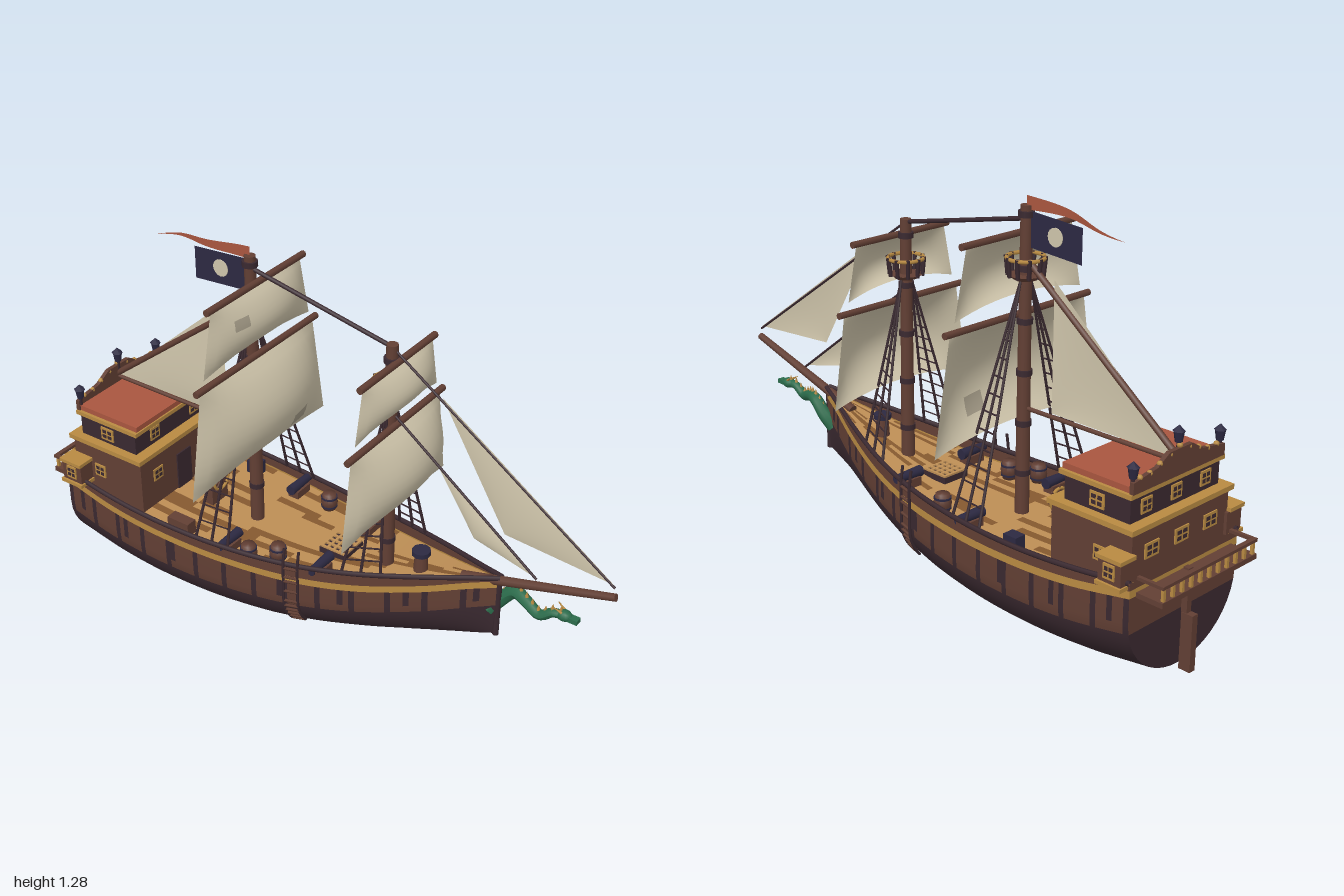
import * as THREE from 'three';

const mat = (name, color) => new THREE.MeshStandardMaterial({ name, color, side: THREE.DoubleSide });
const M = {
  dark: mat('dark hull', 0x3a2930), wood: mat('brown wood', 0x623f34), plank: mat('worn plank', 0x85592f),
  gold: mat('gold trim', 0xb88a42), deck: mat('deck plank', 0xbd8e55), sail: mat('canvas', 0xcfc5ab),
  red: mat('red cloth', 0xa9563f), navy: mat('navy', 0x2c2942), green: mat('green', 0x2b6b4b), patch: mat('patch', 0xa59c88),
};
const V = (x, y, z) => new THREE.Vector3(x, y, z);
const lerp = THREE.MathUtils.lerp;

// Hull lines by station
const XS = [-0.91, -0.7, -0.5, -0.25, 0, 0.2, 0.4, 0.55, 0.63];
const line = (ys) => { const c = new THREE.CubicInterpolant(XS, ys, 1, [0]); return (x) => c.evaluate(x)[0]; };
const keel = line([0.035, 0.012, 0.004, 0.012, 0.045, 0.09, 0.15, 0.205, 0.24]);
const top = line([0.37, 0.352, 0.342, 0.34, 0.352, 0.377, 0.412, 0.44, 0.455]);
const band = line([0.335, 0.305, 0.292, 0.287, 0.295, 0.32, 0.365, 0.41, 0.432]);
const beam = line([0.24, 0.256, 0.26, 0.245, 0.208, 0.16, 0.093, 0.035, 0.006]);

// Hull cross-section: rows 0-10 curve up from the keel, then 11-13 go straight to the rail
function section(x, j, s) {
  const k = keel(x), w = beam(x), b = band(x);
  if (j > 10) return V(x, [b - 0.012, b + 0.012, top(x)][j - 11], s * w);
  const a = (j / 10) * Math.PI / 2, bow = Math.max(0, x + 0.1);
  return V(x, k + 0.7 * (b - k) * (1 - Math.cos(a)), s * w * Math.sin(a) ** (1 + 0.6 * bow));
}

// Surface f(u, v) with one material per cell
function grid(f, nu, nv, mats, pick = () => 0, flip = false) {
  const pos = [], bins = mats.map(() => []);
  for (let j = 0; j <= nv; j++) for (let i = 0; i <= nu; i++) pos.push(...f(i / nu, j / nv, i, j).toArray());
  for (let j = 0; j < nv; j++) for (let i = 0; i < nu; i++) {
    const a = j * (nu + 1) + i, b = a + 1, c = a + nu + 1, d = c + 1;
    bins[pick(i, j)].push(...(flip ? [a, c, b, b, c, d] : [a, b, c, b, d, c]));
  }
  const g = new THREE.BufferGeometry();
  g.setAttribute('position', new THREE.Float32BufferAttribute(pos, 3));
  g.setIndex(bins.flat());
  let start = 0;
  bins.forEach((bin, m) => { if (bin.length) g.addGroup(start, bin.length, m); start += bin.length; });
  g.computeVertexNormals();
  return g;
}

export function createModel() {
  const root = new THREE.Group();
  root.name = 'sailingShip';
  const add = (name, geo, m, x = 0, y = 0, z = 0) => {
    const mesh = new THREE.Mesh(geo, m);
    mesh.name = name;
    mesh.position.set(x, y, z);
    root.add(mesh);
    return mesh;
  };
  // Box given by its limits
  const box = (name, m, x0, x1, y0, y1, z0, z1) => add(name, new THREE.BoxGeometry(x1 - x0, y1 - y0, z1 - z0), m, (x0 + x1) / 2, (y0 + y1) / 2, (z0 + z1) / 2);
  const rod = (name, m, a, b, r, r2 = r, n = 8) => {
    const mid = a.clone().add(b).multiplyScalar(0.5), d = b.clone().sub(a);
    const mesh = add(name, new THREE.CylinderGeometry(r2, r, d.length(), n), m, mid.x, mid.y, mid.z);
    mesh.quaternion.setFromUnitVectors(V(0, 1, 0), d.normalize());
    return mesh;
  };
  const tube = (name, m, pts, r, n = 40, sides = 6) => add(name, new THREE.TubeGeometry(new THREE.CatmullRomCurve3(pts), n, r, sides), m);
  let seed = 7;
  const rnd = () => (seed = (seed * 16807) % 2147483647) / 2147483647;
  const sides = [1, -1];

  // Hull with frame blocks, gold band and bulwark
  const N = 84, hullMats = [M.dark, M.wood, M.gold];
  const hullRow = (i, j) => (j < 9 ? 0 : j < 11 ? (i % 6 === 0 || (j === 10 && i % 11 === 3) ? 0 : 1) : j === 11 ? 2 : 1);
  for (const s of sides) {
    add('hullSide', grid((u, v, i, j) => section(lerp(-0.91, 0.63, u), j, s), N, 13, hullMats, hullRow, s < 0), hullMats);
    const rail = [];
    for (let i = 0; i <= 20; i++) rail.push(section(lerp(-0.91, 0.63, i / 20), 13, s));
    tube('capRail', M.dark, rail, 0.008, 60);
  }
  add('transom', grid((u, v, i, j) => { const p = section(-0.91, j, 1); p.z *= 2 * u - 1; return p; }, 1, 13, hullMats, (i, j) => hullRow(1, j)), hullMats);
  rod('stem', M.dark, V(0.625, 0.235, 0), V(0.625, 0.455, 0), 0.01);

  // Planked deck
  const planks = [];
  for (let j = 0; j < 18; j++) { let left = 0, k = 0; planks[j] = []; for (let i = 0; i < 60; i++) { if (left-- <= 0) { left = 3 + Math.floor(rnd() * 7); k = rnd() < 0.3 ? 1 : 0; } planks[j][i] = k; } }
  add('deck', grid((u, v) => { const x = lerp(-0.9, 0.62, u); return V(x, band(x) + 0.008, beam(x) * (1 - 2 * v) * 0.99); }, 60, 18, [M.deck, M.plank], (i, j) => planks[j][i]), [M.deck, M.plank]);

  // Rudder
  box('rudder', M.wood, -0.955, -0.915, 0.02, 0.2, -0.012, 0.012);
  box('rudderPost', M.wood, -0.932, -0.912, 0.2, 0.34, -0.01, 0.01);

  // Stern castle
  box('lowerCabin', M.wood, -0.89, -0.6, 0.3, 0.5, -0.212, 0.212);
  box('lowerCornice', M.gold, -0.9, -0.59, 0.498, 0.514, -0.225, 0.225);
  box('upperCabin', M.dark, -0.865, -0.63, 0.514, 0.592, -0.195, 0.195);
  box('upperCornice', M.gold, -0.875, -0.615, 0.59, 0.604, -0.206, 0.206);
  box('cabinRoof', M.red, -0.865, -0.62, 0.604, 0.622, -0.195, 0.195);
  // Framed window plate, facing z (axis 0) or x (axis 1)
  const windowAt = (x, y, z, axis, w = 0.045) => {
    const g = new THREE.Group();
    g.name = 'window';
    const part = (m, a, b, d, px, py) => { const q = new THREE.Mesh(new THREE.BoxGeometry(a, b, d), m); q.position.set(px, py, 0); g.add(q); };
    part(M.gold, w, 0.045, 0.007, 0, 0);
    for (const i of sides) for (const j of sides) part(M.dark, w * 0.3, 0.012, 0.009, i * w * 0.21, j * 0.009);
    g.position.set(x, y, z);
    if (axis) g.rotation.y = Math.PI / 2;
    root.add(g);
  };
  for (const s of sides) {
    windowAt(-0.75, 0.55, s * 0.196, 0, 0.052);
    windowAt(-0.78, 0.405, s * 0.213, 0);
    windowAt(-0.59 - 0.01, 0.42, s * 0.13, 1);
    windowAt(-0.63, 0.553, s * 0.1, 1);
    // Quarter galleries
    box('quarterGallery', M.wood, -0.9, -0.82, 0.36, 0.43, s > 0 ? 0.2 : -0.268, s > 0 ? 0.268 : -0.2);
    for (const y of [0.35, 0.43]) box('galleryTrim', M.gold, -0.905, -0.815, y, y + 0.012, s > 0 ? 0.21 : -0.276, s > 0 ? 0.276 : -0.21);
    windowAt(-0.86, 0.398, s * 0.269, 0, 0.04);
  }
  for (const z of [-0.13, 0, 0.13]) { windowAt(-0.891, 0.43, z, 1, 0.06); windowAt(-0.866, 0.553, z, 1); }
  box('cabinDoor', M.dark, -0.602, -0.595, 0.3, 0.44, -0.035, 0.035);

  // Stern balcony
  box('balconyFloor', M.wood, -1, -0.905, 0.318, 0.334, -0.212, 0.212);
  box('balconyRail', M.wood, -1, -0.985, 0.372, 0.382, -0.212, 0.212);
  for (let i = 0; i < 11; i++) box('balconyPost', M.gold, -0.997, -0.988, 0.334, 0.372, -0.205 + i * 0.04, -0.195 + i * 0.04);
  for (const s of sides) box('balconyEnd', M.wood, -1, -0.91, 0.372, 0.382, s * 0.206 - 0.006, s * 0.206 + 0.006);

  // Arched taffrail and stern lanterns
  const arch = new THREE.Shape([[-0.2, 0], [0.2, 0], [0.2, 0.035], [0.1, 0.05], [0.05, 0.08], [-0.05, 0.08], [-0.1, 0.05], [-0.2, 0.035]].map((p) => new THREE.Vector2(...p)));
  add('taffrail', new THREE.ExtrudeGeometry(arch, { depth: 0.014, bevelEnabled: false }), M.wood, -0.877, 0.604, 0).rotation.y = Math.PI / 2;
  for (let i = -4; i <= 4; i++) add('taffrailKnob', new THREE.SphereGeometry(0.009, 8, 6), M.gold, -0.87, 0.645 + 0.045 * Math.max(0, 1 - Math.abs(i) / 3), i * 0.042);
  for (const z of [-0.19, 0, 0.19]) {
    const y = z ? 0.63 : 0.68;
    rod('lanternPost', M.dark, V(-0.865, y - 0.02, z), V(-0.865, y + 0.02, z), 0.006);
    rod('lantern', M.navy, V(-0.865, y + 0.018, z), V(-0.865, y + 0.05, z), 0.011, 0.016, 6);
    add('lanternCap', new THREE.ConeGeometry(0.019, 0.018, 6), M.navy, -0.865, y + 0.059, z);
  }

  // Square sail on its yard
  function squareSail(xm, y0, y1, w0, w1, yard, bulge, patched) {
    const f = (u, v) => {
      const c = 2 * u - 1, full = 1 - c * c;
      return V(xm + 0.022 + bulge * Math.sin(Math.PI * Math.min(1, v * 0.97)) ** 0.8 * full ** 0.8, lerp(y0, y1, v) + 0.03 * v ** 3 * full, lerp(w0, w1, v) * c);
    };
    const mats = [M.sail, M.patch];
    add('squareSail', grid(f, 16, 12, mats, (i, j) => (patched && patched(i, j) ? 1 : 0)), mats);
    rod('yard', M.wood, V(xm + 0.022, y0 + 0.008, -yard), V(xm + 0.022, y0 + 0.008, yard), 0.011);
  }
  // Masts with nest, shrouds and ratlines
  function mast(xm, yTop, nest) {
    rod('mast', M.wood, V(xm, 0.28, 0), V(xm, yTop, 0), 0.023, 0.018, 12);
    for (let y = 0.42; y < yTop; y += 0.16) rod('mastBand', M.dark, V(xm, y, 0), V(xm, y + 0.018, 0), 0.025, 0.025, 12);
    rod('nestFloor', M.wood, V(xm, nest - 0.01, 0), V(xm, nest + 0.005, 0), 0.035, 0.055, 10);
    add('nestRim', new THREE.TorusGeometry(0.057, 0.006, 6, 16), M.gold, xm, nest + 0.055, 0).rotation.x = Math.PI / 2;
    for (let i = 0; i < 10; i++) {
      const c = Math.cos(i * Math.PI / 5), s = Math.sin(i * Math.PI / 5);
      rod('nestPost', M.dark, V(xm + c * 0.052, nest, s * 0.052), V(xm + c * 0.058, nest + 0.06, s * 0.058), 0.007, 0.007, 5);
    }
    for (const s of sides) {
      const foot = (d) => V(xm + d, top(xm + d), s * beam(xm + d) * 0.97), head = V(xm, nest - 0.01, s * 0.02);
      for (const d of [-0.06, 0, 0.06]) rod('shroud', M.dark, foot(d), head, 0.005, 0.004, 5);
      for (let t = 0.08; t < 0.85; t += 0.075) rod('ratline', M.dark, foot(-0.06).lerp(head, t), foot(0.06).lerp(head, t), 0.003, 0.003, 4);
    }
  }
  const MX = -0.287, FX = 0.225;
  mast(MX, 1.255, 1.045);
  mast(FX, 1.12, 0.94);
  squareSail(MX, 0.917, 0.56, 0.285, 0.345, 0.305, 0.092, (i, j) => (i === 4 || i === 5) && (j === 8 || j === 9));
  squareSail(MX, 1.162, 0.955, 0.22, 0.265, 0.24, 0.055, (i, j) => (i === 11 || i === 12) && (j === 3 || j === 4));
  squareSail(FX, 0.847, 0.55, 0.24, 0.285, 0.26, 0.085);
  squareSail(FX, 1.06, 0.89, 0.185, 0.22, 0.2, 0.052);

  // Bowsprit, stays and fore-and-aft sails
  rod('bowsprit', M.wood, V(0.5, 0.405, 0), V(0.997, 0.55, 0), 0.017, 0.012, 10);
  rod('mastStay', M.dark, V(MX, 1.215, 0), V(FX, 1.11, 0), 0.007);
  rod('foreStay', M.dark, V(FX, 1.11, 0), V(0.99, 0.58, 0), 0.004);
  rod('innerStay', M.dark, V(FX, 0.895, 0), V(0.745, 0.5, 0), 0.004);
  rod('gaff', M.wood, V(-0.87, 0.65, 0), V(-0.3, 1.09, 0), 0.01);
  rod('boom', M.wood, V(-0.87, 0.64, 0), V(-0.3, 0.637, 0), 0.007);
  const triSail = (name, a, b, c) => add(name, grid((u, v) => V(...a, 0).lerp(V(...b, 0), u).lerp(V(...c, 0), v).setZ(0.1 * u * (1 - u) * v * (1 - v)), 8, 8, [M.sail]), M.sail);
  triSail('outerJib', [0.4, 1.0], [0.985, 0.59], [0.63, 0.615]);
  triSail('innerJib', [0.4, 0.755], [0.74, 0.505], [0.53, 0.557]);
  triSail('spanker', [-0.86, 0.648], [-0.4, 1.055], [-0.4, 0.648]);

  // Pennant and flag
  add('pennant', grid((u, v) => V(MX - 0.375 * u, 1.262 - 0.045 * u * u + (0.5 - v) * 0.042 * (1 - u), 0.03 * u * Math.sin(6 * u)), 16, 2, [M.red]), M.red);
  add('flag', grid((u, v) => V(-0.3 - 0.2 * u, 1.24 - 0.014 * u - 0.108 * v, 0), 2, 2, [M.navy]), M.navy);
  add('flagDisc', new THREE.CylinderGeometry(0.028, 0.028, 0.006, 16), M.sail, -0.4, 1.18, 0).rotation.x = Math.PI / 2;

  // Serpent figurehead with tapering neck and gold spines
  const neck = new THREE.CatmullRomCurve3([V(0.595, 0.32, -0.005), V(0.625, 0.36, -0.02), V(0.67, 0.405, -0.022), V(0.72, 0.4, -0.005), V(0.77, 0.385, 0.008), V(0.81, 0.41, 0.005), V(0.845, 0.413, 0)]);
  const neckGeo = new THREE.TubeGeometry(neck, 40, 0.03, 10), np = neckGeo.attributes.position;
  for (let i = 0; i <= 40; i++) for (let k = 0; k <= 10; k++) {
    const c = neck.getPointAt(i / 40), q = V(0, 0, 0).fromBufferAttribute(np, i * 11 + k);
    q.lerp(c, 0.15 + 0.4 * i / 40);
    np.setXYZ(i * 11 + k, q.x, q.y, q.z);
  }
  neckGeo.computeVertexNormals();
  add('serpentNeck', neckGeo, M.green);
  add('serpentHead', new THREE.SphereGeometry(0.02, 12, 8), M.green, 0.845, 0.413, 0).scale.set(1.3, 0.9, 1);
  box('serpentSnout', M.green, 0.85, 0.892, 0.403, 0.418, -0.012, 0.012);
  for (let t = 0.2; t < 0.99; t += 0.085) { const p = neck.getPointAt(t); add('spine', new THREE.ConeGeometry(0.007, 0.02, 5), M.gold, p.x, p.y + 0.033 - 0.012 * t, p.z); }
  for (const s of sides) rod('serpentHorn', M.gold, V(0.84, 0.425, s * 0.01), V(0.815, 0.44, s * 0.016), 0.005, 0.001, 5);

  for (const s of sides) {
    // Boarding ladder following the hull side
    const row = (x, j) => section(x, j, s).add(V(0, 0, s * 0.008));
    for (const x of [-0.018, 0.03]) {
      const pts = [6, 7, 8, 9, 10, 11, 13].map((j) => row(x, j));
      tube('ladderRope', M.dark, [...pts, V(x, 0.41, s * beam(x))], 0.005, 24, 5);
    }
    for (let j = 6; j < 13.5; j += 0.75) {
      const p = (x) => row(x, Math.floor(j)).lerp(row(x, Math.min(13, Math.floor(j) + 1)), j % 1);
      rod('ladderRung', M.wood, p(-0.018), p(0.03), 0.005, 0.005, 5);
    }
    // Cannons
    for (const [x, z] of [[0.07, 0.14], [-0.255, 0.19]]) {
      const y = band(x) + 0.045;
      rod('cannon', M.navy, V(x, y, s * (z - 0.05)), V(x, y, s * (z + 0.055)), 0.018, 0.014, 10);
      box('cannonCarriage', M.wood, x - 0.02, x + 0.02, y - 0.04, y - 0.01, s * z - 0.035, s * z + 0.035);
    }
  }

  // Deck fittings
  const hatchY = band(0.05) + 0.008;
  box('hatch', M.dark, 0, 0.1, hatchY, hatchY + 0.02, -0.05, 0.05);
  for (let i = 0; i < 5; i++) {
    const o = -0.044 + i * 0.022;
    box('grating', M.deck, 0.003, 0.097, hatchY + 0.02, hatchY + 0.026, o - 0.004, o + 0.004);
    box('grating', M.deck, 0.05 + o - 0.004, 0.05 + o + 0.004, hatchY + 0.02, hatchY + 0.026, -0.047, 0.047);
  }
  for (const [x, z] of [[-0.12, -0.175], [-0.09, 0.15], [-0.17, 0.2]]) {
    const y = band(x) + 0.008;
    add('barrel', new THREE.LatheGeometry([[0, 0], [0.022, 0], [0.029, 0.03], [0.022, 0.06], [0, 0.06]].map((p) => new THREE.Vector2(...p)), 12), M.wood, x, y, z);
    for (const h of [0.014, 0.046]) rod('barrelHoop', M.navy, V(x, y + h - 0.003, z), V(x, y + h + 0.003, z), 0.028, 0.028, 12);
  }
  box('crate', M.wood, -0.485, -0.4, 0.295, 0.345, 0.185, 0.225);
  box('chest', M.navy, -0.475, -0.425, 0.295, 0.345, -0.225, -0.185);
  box('helmStand', M.wood, -0.475, -0.445, 0.295, 0.37, -0.04, 0.04);
  add('helmWheel', new THREE.TorusGeometry(0.036, 0.005, 6, 20), M.gold, -0.438, 0.385, 0).rotation.y = Math.PI / 2;
  for (let i = 0; i < 4; i++) { const a = i * Math.PI / 4, c = Math.cos(a) * 0.046, d = Math.sin(a) * 0.046; rod('helmSpoke', M.wood, V(-0.438, 0.385 - c, -d), V(-0.438, 0.385 + c, d), 0.003, 0.003, 5); }
  rod('capstan', M.wood, V(0.35, 0.36, 0), V(0.35, 0.42, 0), 0.024, 0.02, 10);
  rod('capstanHead', M.navy, V(0.35, 0.42, 0), V(0.35, 0.436, 0), 0.03, 0.03, 10);
  return root;
}
